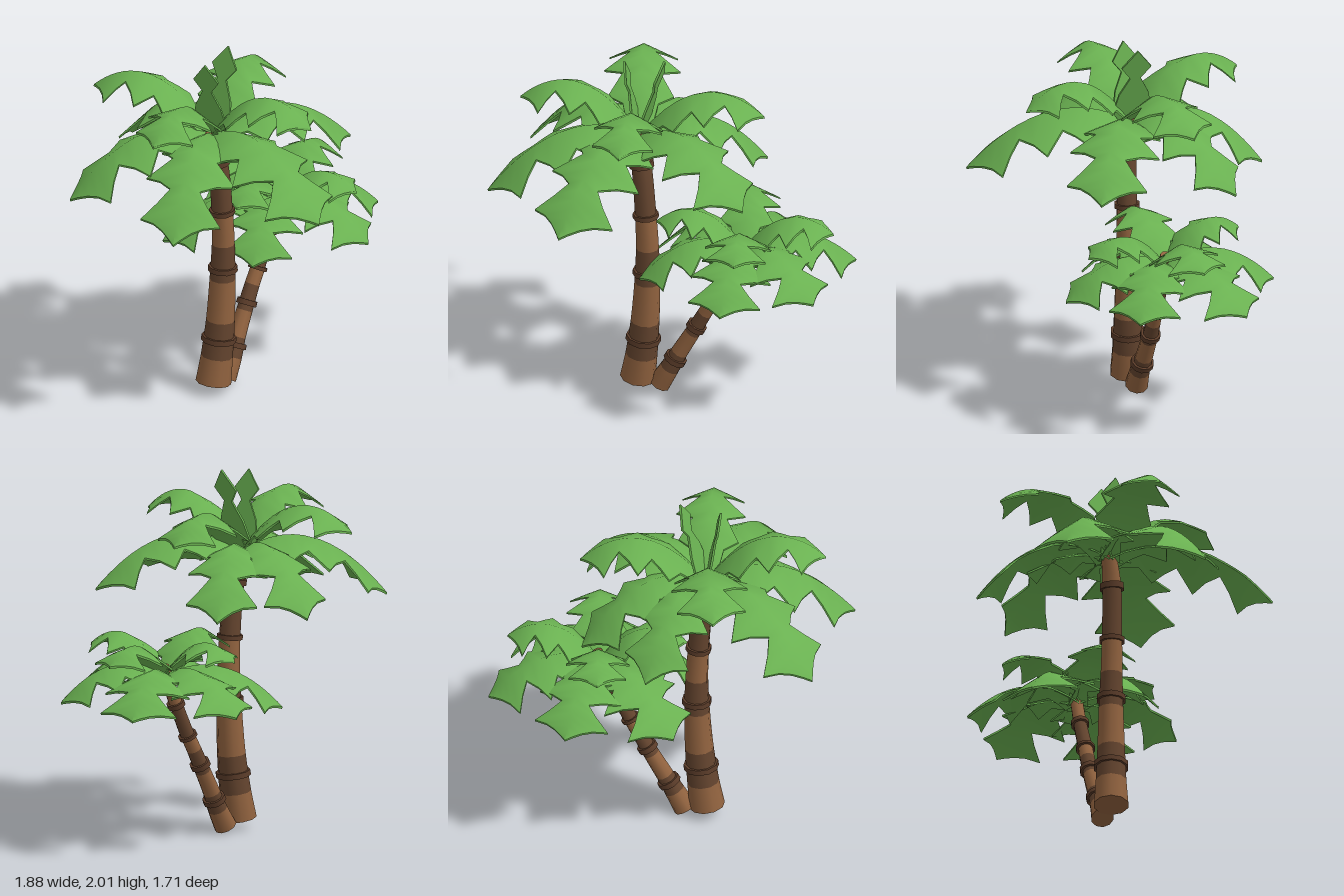
import * as THREE from 'three';

const mat = (name, color, side = THREE.FrontSide) => {
  const m = new THREE.MeshStandardMaterial({ color, side });
  m.name = name;
  return m;
};

// Half outlines of the leaves: [fraction along rib, half width relative to length]
const FROND = [
  [0, 0.08], [0.1, 0.11], [0.2, 0.14], [0.29, 0.26], [0.36, 0.2], [0.43, 0.15],
  [0.54, 0.3], [0.61, 0.19], [0.69, 0.1], [0.75, 0.17], [0.81, 0.27], [0.86, 0.17],
  [0.91, 0.1], [0.96, 0.043], [1, 0],
];
const SPROUT = [[0, 0.12], [0.15, 0.22], [0.4, 0.17], [0.62, 0.06], [0.77, 0.17], [1, 0]];
const THICK = 0.012;

// Arched, roof-folded, barbed leaf from base to tip, with a thin edge
function frondGeometry(outline, base, tip, arch, width, droop) {
  const span = tip.clone().sub(base);
  const flat = Math.hypot(span.x, span.z);
  const length = flat > 0.3 ? flat : span.length();
  const side = new THREE.Vector3(span.z, 0, -span.x).normalize();
  const under = side.clone().cross(span).normalize().multiplyScalar(THICK);
  const top = [], idx = [];
  for (const [u, w] of outline) {
    const rib = base.clone().addScaledVector(span, u);
    rib.y += 4 * arch * u * (1 - u);
    const half = w * length * width;
    for (const s of [1, 0, -1]) {
      const p = rib.clone().addScaledVector(side, s * half);
      if (s) p.y -= half * droop;
      top.push(p);
    }
  }
  const bottom = top.map((p) => p.clone().add(under));
  const n = top.length;
  // Upper skin, lower skin, then separate copies of both for the rim
  for (let b = 3; b < n; b += 3) {
    const a = b - 3;
    for (const k of [0, 1]) {
      const [p, q, r, s] = [a + k, a + k + 1, b + k, b + k + 1];
      idx.push(p, q, r, q, s, r);
      idx.push(n + p, n + r, n + q, n + q, n + r, n + s);
    }
    const c = 2 * n, d = 3 * n;
    idx.push(c + a, c + b, d + a, c + b, d + b, d + a);
    idx.push(c + a + 2, d + a + 2, c + b + 2, c + b + 2, d + a + 2, d + b + 2);
  }
  const g = new THREE.BufferGeometry().setFromPoints([...top, ...bottom, ...top, ...bottom]);
  g.setIndex(idx);
  g.computeVertexNormals();
  return g;
}

// Stretch of trunk following the curve between parameters t0 and t1
function sleeve(curve, radius, t0, t1, steps, extra = 0) {
  const g = new THREE.CylinderGeometry(1, 1, 1, 10, steps);
  const p = g.attributes.position, nrm = g.attributes.normal;
  const up = new THREE.Vector3(0, 1, 0), q = new THREE.Quaternion(), v = new THREE.Vector3();
  for (let i = 0; i < p.count; i++) {
    const t = THREE.MathUtils.clamp(t0 + (t1 - t0) * (p.getY(i) + 0.5), 0, 1);
    const r = radius(t) + extra;
    q.setFromUnitVectors(up, curve.getTangent(t));
    v.set(p.getX(i) * r, 0, p.getZ(i) * r).applyQuaternion(q).add(curve.getPoint(t));
    p.setXYZ(i, v.x, v.y, v.z);
    v.fromBufferAttribute(nrm, i).applyQuaternion(q);
    nrm.setXYZ(i, v.x, v.y, v.z);
  }
  return g;
}

function buildPalm(name, mats, { nodes, rings, crown, lower, upper, upright, scale, width, droop }) {
  const palm = new THREE.Group();
  palm.name = name;
  const add = (geo, material, label) => {
    const m = new THREE.Mesh(geo, material);
    m.name = label;
    palm.add(m);
  };

  // Trunk in alternating bands
  const n = nodes.length - 1;
  const curve = new THREE.CatmullRomCurve3(nodes.map(([x, y, z]) => new THREE.Vector3(x, y, z)));
  const radius = (t) => {
    const i = Math.min(Math.floor(t * n), n - 1);
    return THREE.MathUtils.lerp(nodes[i][3], nodes[i + 1][3], t * n - i);
  };
  for (let i = 0; i < n; i++) {
    add(sleeve(curve, radius, i / n, (i + 1) / n, 3), i % 2 ? mats.dark : mats.light, 'trunkBand');
  }

  // Raised rings, given by node position
  for (const k of rings) {
    const i = Math.floor(k);
    const len = Math.hypot(...[0, 1, 2].map((a) => nodes[i + 1][a] - nodes[i][a]));
    const d = 0.015 / len / n;
    add(sleeve(curve, radius, k / n - d, k / n + d, 1, 0.013), mats.ring, 'trunkRing');
  }

  // Crown tiers
  const base = new THREE.Vector3(...crown);
  const tier = (label, outline, tips, arch, wide, fold) => {
    for (const tip of tips) {
      const end = new THREE.Vector3(...tip);
      add(frondGeometry(outline, base, end, arch, wide, fold), mats.leaf, label);
    }
  };
  tier('lowerFrond', FROND, lower, 0.19 * scale, width, droop);
  tier('upperFrond', FROND, upper, 0.2 * scale, width, droop);
  tier('uprightSprout', SPROUT, upright, 0, 1, 0);
  return palm;
}

export function createModel() {
  const mats = {
    light: mat('lightBark', 0x936440),
    dark: mat('darkBark', 0x65452f),
    ring: mat('ringBark', 0x5c3d2a),
    leaf: mat('leafGreen', 0x6ab151, THREE.DoubleSide),
  };
  const model = new THREE.Group();
  model.name = 'palmTrees';

  model.add(buildPalm('tallPalm', mats, {
    scale: 1, width: 1, droop: 0.5,
    nodes: [
      [-0.12, 0.05, 0.04, 0.097], [-0.098, 0.2, 0.032, 0.087], [-0.075, 0.41, 0.025, 0.078],
      [-0.062, 0.65, 0.02, 0.07], [-0.058, 0.86, 0.022, 0.062], [-0.066, 1.05, 0.027, 0.058],
      [-0.093, 1.36, 0.035, 0.055], [-0.135, 1.55, 0.03, 0.042],
    ],
    rings: [1.5, 3.3, 5.03, 6.03],
    crown: [-0.125, 1.53, 0.025],
    lower: [
      [-0.94, 1.26, 0.05], [-0.57, 1.23, 0.72], [0.22, 1.3, 0.85],
      [0.69, 1.37, -0.05], [0.14, 1.28, -0.65], [-0.36, 1.28, -0.65],
    ],
    upper: [[-0.6, 1.71, 0.47], [0.29, 1.7, 0.49], [0.34, 1.67, -0.47], [-0.65, 1.7, -0.42]],
    upright: [[-0.18, 1.97, 0.08], [-0.01, 2.0, -0.05]],
  }));

  model.add(buildPalm('shortPalm', mats, {
    scale: 0.7, width: 1.27, droop: 0.45,
    nodes: [
      [-0.03, 0.025, -0.038, 0.063], [0.02, 0.13, -0.07, 0.055], [0.06, 0.23, -0.105, 0.048],
      [0.118, 0.36, -0.15, 0.044], [0.175, 0.49, -0.19, 0.041], [0.213, 0.57, -0.213, 0.04],
      [0.29, 0.76, -0.268, 0.037], [0.37, 0.98, -0.32, 0.033],
    ],
    rings: [1.6, 3.3, 5, 6],
    crown: [0.36, 0.93, -0.31],
    lower: [
      [0.94, 0.81, -0.34], [0.65, 0.8, -0.86], [0.07, 0.79, -0.84],
      [-0.28, 0.74, -0.36], [0.06, 0.77, 0.17], [0.73, 0.8, 0.14],
    ],
    upper: [[0.73, 1.06, -0.64], [0.04, 1.06, -0.63], [0.02, 1.06, 0.02], [0.7, 1.06, 0.02]],
    upright: [],
  }));
  return model;
}
